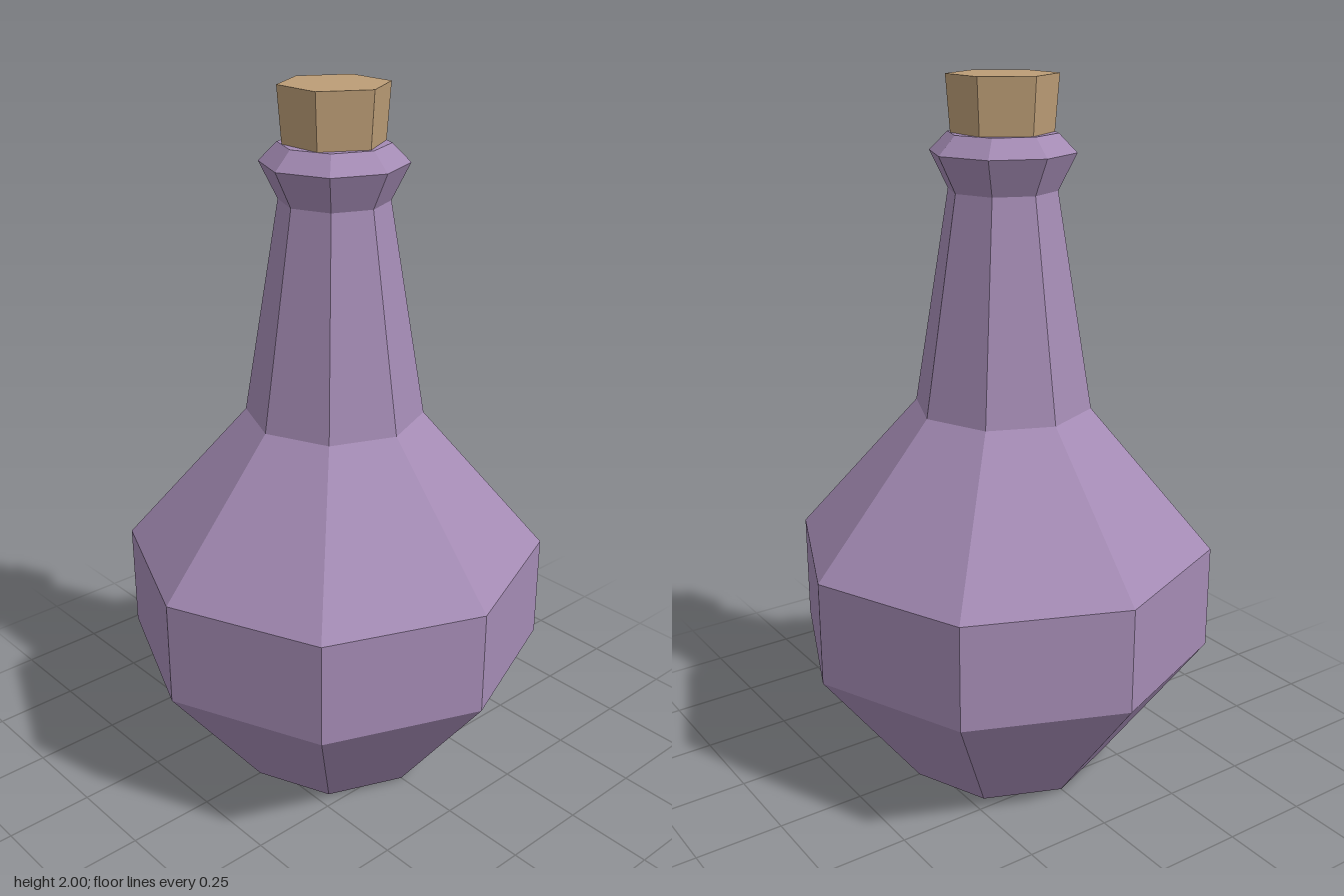
import * as THREE from 'three';

export function createModel() {
  const group = new THREE.Group();
  const glass = new THREE.MeshStandardMaterial({ color: 0xa48bb4 });
  glass.name = 'purpleGlass';
  const corkBrown = new THREE.MeshStandardMaterial({ color: 0xbc9d76 });
  corkBrown.name = 'corkBrown';

  // Faceted geometry: unshared vertices give flat normals
  const faceted = (geometry) => {
    const flat = geometry.toNonIndexed();
    flat.computeVertexNormals();
    return flat;
  };
  const addPart = (name, geometry, material) => {
    const mesh = new THREE.Mesh(faceted(geometry), material);
    mesh.name = name;
    group.add(mesh);
    return mesh;
  };

  // Eight-sided bottle: base, belly, shoulder, neck and lip
  const profile = [
    [0, 0], [0.3, 0], [0.6, 0.4], [0.6, 0.7], [0.25, 1.1],
    [0.15, 1.7], [0.2, 1.8], [0.15, 1.85], [0, 1.85],
  ].map(([r, y]) => new THREE.Vector2(r, y));
  addPart('bottle', new THREE.LatheGeometry(profile, 8), glass);

  // Six-sided tapered stopper, with corners on the x axis
  const cork = addPart('cork', new THREE.CylinderGeometry(0.15, 0.138, 0.16, 6), corkBrown);
  cork.position.y = 1.92;
  cork.rotation.y = Math.PI / 6;

  return group;
}
